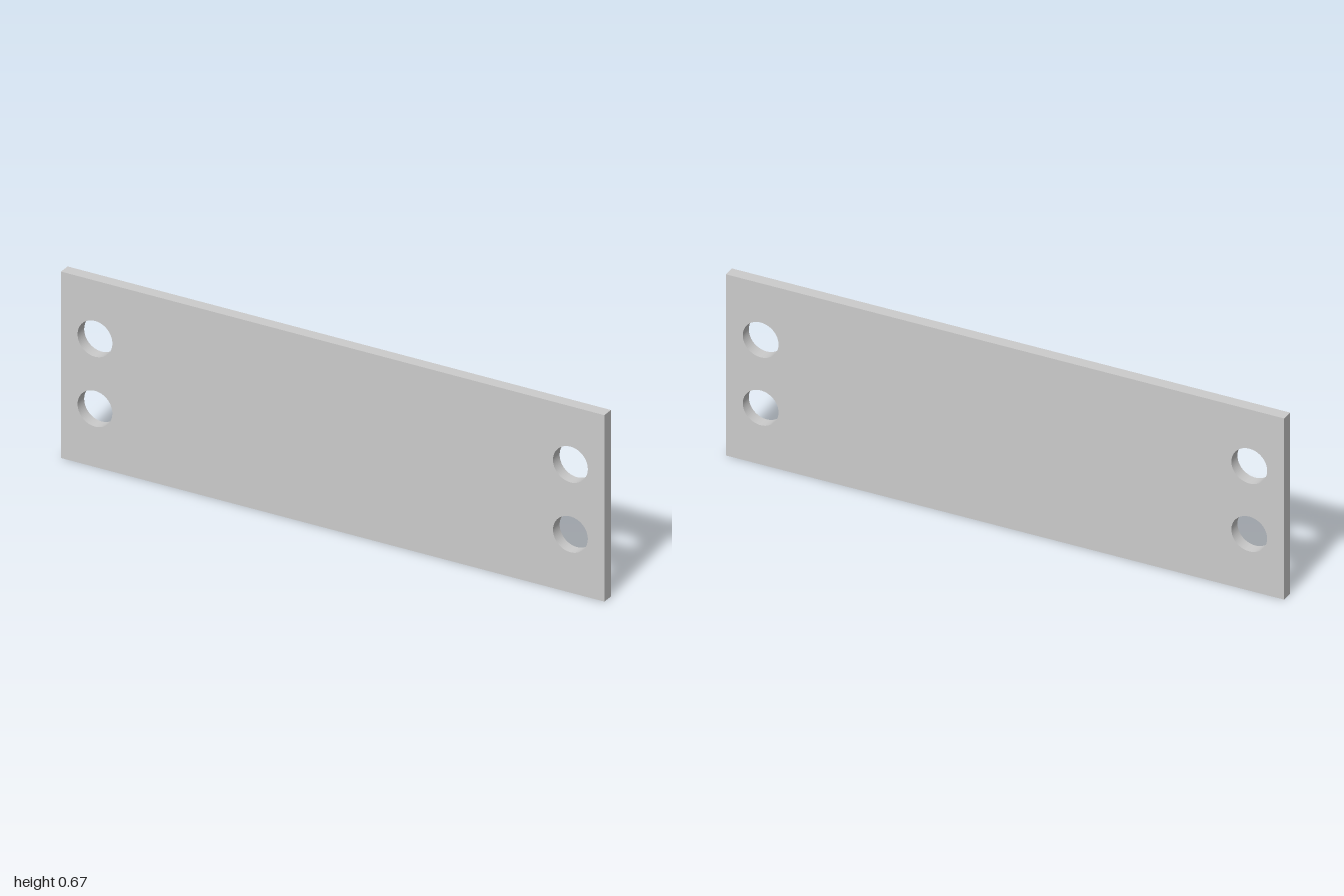
import * as THREE from 'three';

const LENGTH = 2, HEIGHT = 0.667, THICKNESS = 0.042;
const HOLE_X = 0.875, HOLE_DY = 0.125, HOLE_RADIUS = 0.064;

export function createModel() {
  const group = new THREE.Group();
  group.name = 'mountingPlate';

  // Rectangular outline standing on y = 0
  const outline = new THREE.Shape();
  outline.moveTo(-LENGTH / 2, 0);
  outline.lineTo(LENGTH / 2, 0);
  outline.lineTo(LENGTH / 2, HEIGHT);
  outline.lineTo(-LENGTH / 2, HEIGHT);
  outline.closePath();

  // Pair of bolt holes at each end
  for (const sx of [-1, 1]) {
    for (const sy of [-1, 1]) {
      const hole = new THREE.Path();
      hole.absarc(sx * HOLE_X, HEIGHT / 2 + sy * HOLE_DY, HOLE_RADIUS, 0, Math.PI * 2, true);
      outline.holes.push(hole);
    }
  }

  // Flat plate, centred on z = 0
  const geometry = new THREE.ExtrudeGeometry(outline, {
    depth: THICKNESS, bevelEnabled: false, curveSegments: 48,
  });
  geometry.translate(0, 0, -THICKNESS / 2);

  const plate = new THREE.Mesh(geometry, new THREE.MeshStandardMaterial({ color: 0xcccccc }));
  plate.name = 'plate';
  group.add(plate);
  return group;
}
